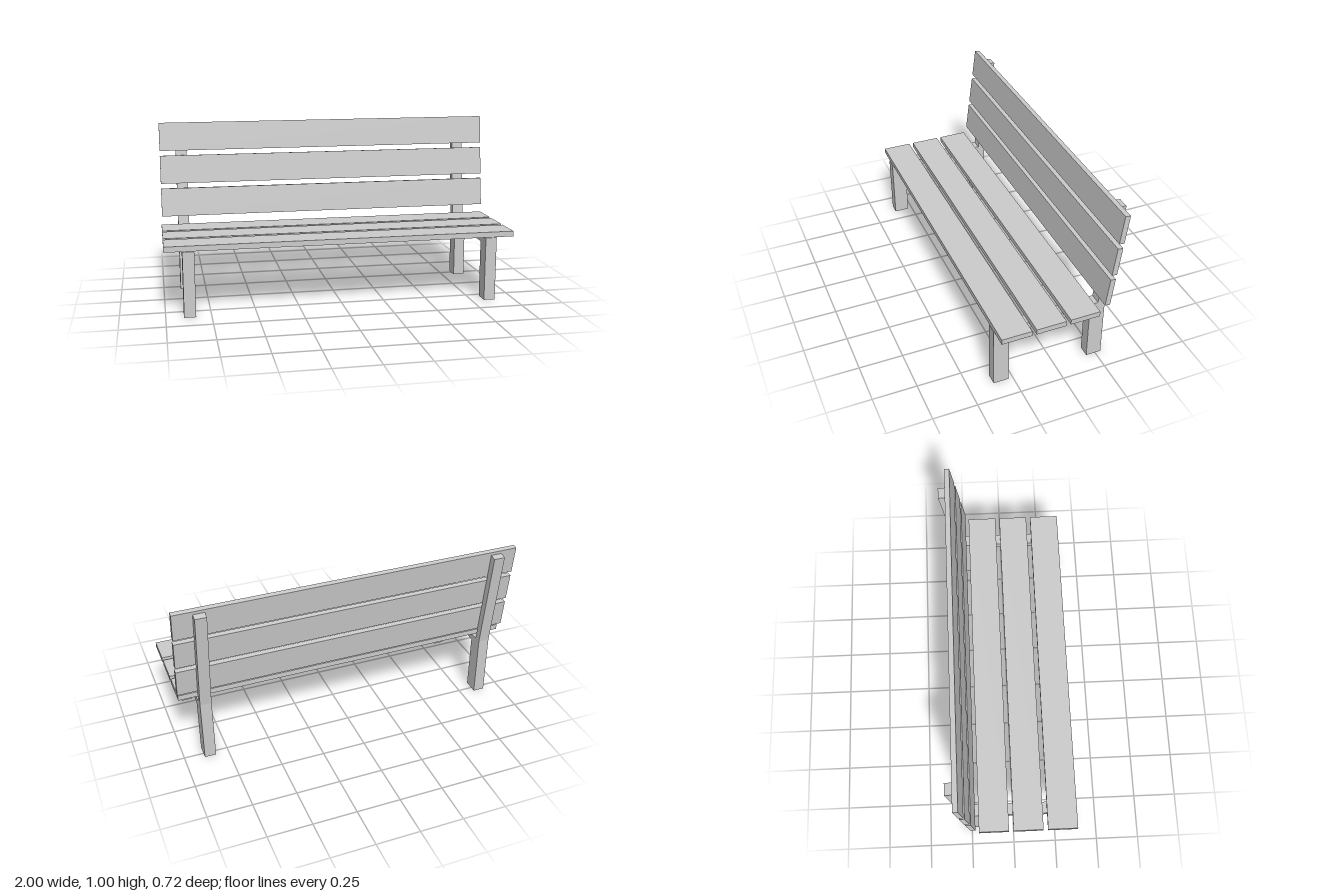
import * as THREE from 'three';

const material = new THREE.MeshStandardMaterial({ color: 0xcccccc, flatShading: true });

// Box given by its extents along each axis
function board(name, [x0, x1], [y0, y1], [z0, z1]) {
  const mesh = new THREE.Mesh(new THREE.BoxGeometry(x1 - x0, y1 - y0, z1 - z0), material);
  mesh.position.set((x0 + x1) / 2, (y0 + y1) / 2, (z0 + z1) / 2);
  mesh.name = name;
  return mesh;
}

// Leaning post: a side outline of [z, y] points, extruded across x
function backPost([x0, x1]) {
  const outline = [[-0.243, 0.37], [-0.284, 0.37], [-0.36, 0.972], [-0.32, 0.978]];
  const shape = new THREE.Shape(outline.map(([z, y]) => new THREE.Vector2(-z, y)));
  const geometry = new THREE.ExtrudeGeometry(shape, { depth: x1 - x0, bevelEnabled: false });
  geometry.rotateY(Math.PI / 2);
  const mesh = new THREE.Mesh(geometry, material);
  mesh.position.x = x0;
  mesh.name = 'backPost';
  return mesh;
}

// Front leg, rear leg, seat rail and back post of one side
function sideFrame(name, x) {
  const frame = new THREE.Group();
  frame.name = name;
  const width = [x - 0.0325, x + 0.0325];
  frame.add(
    board('frontLeg', width, [0, 0.37], [0.275, 0.363]),
    board('rearLeg', width, [0, 0.37], [-0.284, -0.196]),
    board('seatRail', width, [0.332, 0.37], [-0.196, 0.275]),
    backPost(width),
  );
  return frame;
}

export function createModel() {
  const bench = new THREE.Group();
  bench.name = 'bench';
  bench.add(sideFrame('leftFrame', 0.856), sideFrame('rightFrame', -0.868));

  // Three seat slats, front to back
  for (let i = 0; i < 3; i++) {
    const front = 0.361 - i * 0.196;
    bench.add(board('seatSlat', [-1, 0.99], [0.372, 0.403], [front - 0.17, front]));
  }

  // Three back slats, following the lean of the posts
  for (let i = 0; i < 3; i++) {
    const slat = board('backSlat', [-0.995, 1], [-0.083, 0.083], [-0.0148, 0.0148]);
    slat.position.set(0.0025, 0.528 + i * 0.1935, -0.2445 - i * 0.0252);
    slat.rotation.x = -0.127;
    bench.add(slat);
  }
  return bench;
}
